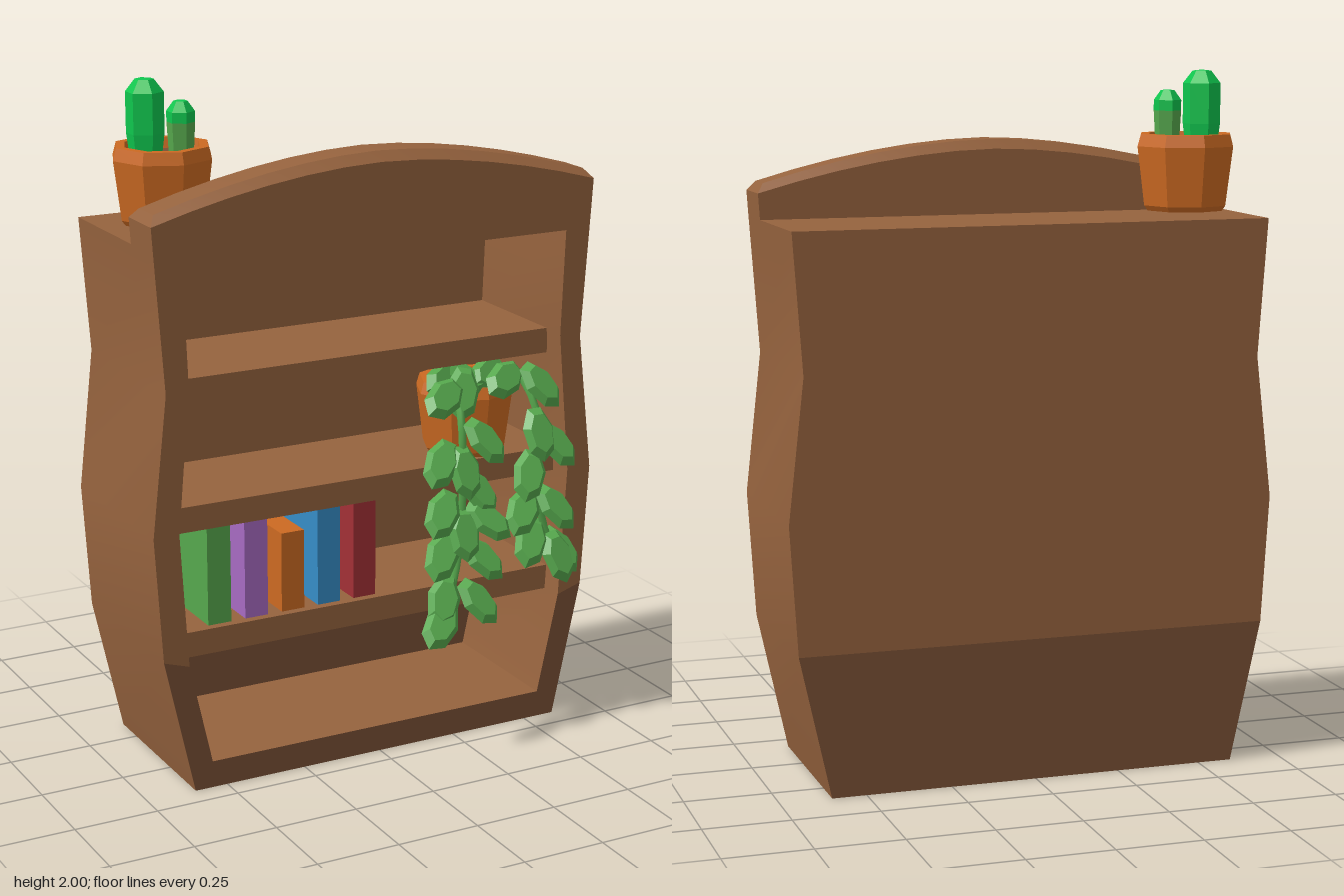
import * as THREE from 'three';

const mat = (name, color) => {
  const m = new THREE.MeshStandardMaterial({ color, side: THREE.DoubleSide });
  m.name = name;
  return m;
};

export function createModel() {
  const M = {
    wood: mat('wood', 0x96633e), darkWood: mat('darkWood', 0x795035),
    clay: mat('terracotta', 0xcc6a22), cactus: mat('cactusGreen', 0x0fc64e),
    leaf: mat('leafGreen', 0x56a84d), purple: mat('purple', 0xa76bc2),
    blue: mat('blue', 0x368dc6), red: mat('red', 0xa23036),
  };
  const root = new THREE.Group();
  root.name = 'bookcase';
  const add = (name, geo, m, parent = root) => {
    const mesh = new THREE.Mesh(geo, m);
    mesh.name = name;
    parent.add(mesh);
    return mesh;
  };
  const faceted = (g) => {
    const f = g.index ? g.toNonIndexed() : g;
    f.computeVertexNormals();
    return f;
  };
  // Surface between two polylines, smooth along its length
  const strip = (a, b) => {
    const n = a.length, idx = [];
    for (let i = 0; i < n - 1; i++) idx.push(i, i + 1, n + i, i + 1, n + i + 1, n + i);
    const g = new THREE.BufferGeometry();
    g.setAttribute('position', new THREE.Float32BufferAttribute([...a, ...b].flat(), 3));
    g.setIndex(idx);
    g.computeVertexNormals();
    return g;
  };
  const plate = (name, pts, z, m, back = false) => {
    const g = new THREE.ShapeGeometry(new THREE.Shape(pts.map((p) => new THREE.Vector2(...p))));
    if (back) g.rotateY(Math.PI);
    g.translate(0, 0, z);
    return add(name, g, m);
  };
  const mirror = (pts) => pts.map(([x, y]) => [-x, y]).reverse();
  const both = (pts) => [...pts, ...mirror(pts)];

  const F = 0.18, B = -0.35, C = 0.03, IB = -0.27, TOP = 1.585;
  const outer = [[0.6, 0], [0.69, 0.41], [0.713, 0.78], [0.667, 1.19], [0.695, TOP]];
  const inner = [[0.545, 0.08], [0.612, 0.385], [0.635, 0.78], [0.598, 1.2], [0.61, 1.515]];
  const arch = (w, lift) => Array.from({ length: 13 }, (_, i) => {
    const u = 1 - i / 6;
    return [w * u, 1.66 + lift + 0.113 * (1 - Math.abs(u) ** 1.8)];
  });
  const low = arch(0.7, 0), high = arch(0.68, 0.027);

  // Front frame and back, darker towards the foot
  plate('frontFrame', [...outer.slice(1), ...low, ...mirror(outer.slice(1)),
    ...inner.slice(1).map(([x, y]) => [-x, y]), ...inner.slice(1).reverse()], F, M.wood);
  plate('frontFoot', [...both(outer.slice(0, 2)).slice(1, 3).reverse(), [0.6, 0]].length
    ? [[-0.6, 0], [0.6, 0], outer[1], inner[1], inner[0], [-0.545, 0.08], [-0.612, 0.385], [-0.69, 0.41]]
    : [], F, M.darkWood);
  plate('backPanel', both(outer.slice(1)), B, M.wood, true);
  plate('backFoot', both(outer.slice(0, 2)), B, M.darkWood, true);
  plate('innerBack', both(inner.slice(1)), IB, M.wood);
  plate('innerBackFoot', both(inner.slice(0, 2)), IB, M.darkWood);
  plate('crestBack', [[0.695, TOP], ...low, [-0.695, TOP]], C, M.wood, true);

  // Bowed sides, inside and out
  for (const s of [1, -1]) {
    const line = (pts, z) => pts.map(([x, y]) => [s * x, y, z]);
    const wall = (name, pts, z0, z1) =>
      add(name, s > 0 ? strip(line(pts, z0), line(pts, z1)) : strip(line(pts, z1), line(pts, z0)), M.wood);
    wall('side', outer, B, F);
    wall('crestEnd', [outer[4], [0.7, 1.66]], C, F);
    wall('innerSide', inner, F, IB);
  }

  // Top, ceiling and floor; the foot is open underneath
  const level = (name, w, y, z0, z1) =>
    add(name, strip([[w, y, z0], [-w, y, z0]], [[w, y, z1], [-w, y, z1]]), M.wood);
  level('top', 0.695, TOP, B, C);
  level('ceiling', 0.61, 1.515, F, IB);
  level('floor', 0.545, 0.08, IB, F);

  // Bevelled cap along the arched crest
  const at = (pts, z) => pts.map(([x, y]) => [x, y, z]);
  const rows = [at(low, C), at(high, 0.055), at(high, 0.15), at(low, F)];
  for (let i = 0; i < 3; i++) add('crestCap', strip(rows[i], rows[i + 1]), M.wood);
  for (const e of [0, 12]) {
    const a = [rows[0][e], rows[1][e]], b = [rows[3][e], rows[2][e]];
    add('crestCapEnd', e ? strip(b, a) : strip(a, b), M.wood);
  }

  // Shelves
  const box = (name, x, y0, y1, z0, z1, w, m) =>
    add(name, new THREE.BoxGeometry(w, y1 - y0, z1 - z0), m).position.set(x, (y0 + y1) / 2, (z0 + z1) / 2);
  for (const [y, w] of [[1.13, 1.2], [0.757, 1.264], [0.38, 1.23]])
    box('shelf', 0, y, y + 0.075, IB, 0.105, w, M.wood);

  // Books
  [[M.leaf, 0.755], [M.purple, 0.755], [M.clay, 0.695], [M.blue, 0.755], [M.red, 0.755]]
    .forEach(([m, top], i) => box('book', -0.47 + i * 0.1175, 0.455, top, -0.17, 0.08, 0.073, m));

  // Eight-sided pot with soil
  const lathe = (pts, n) => faceted(new THREE.LatheGeometry(pts.map((p) => new THREE.Vector2(...p)), n));
  const pot = (name, x, y, z) => {
    const g = new THREE.Group();
    g.name = name;
    g.position.set(x, y, z);
    add('potBody', lathe([[0, 0], [0.115, 0], [0.126, 0.015], [0.148, 0.185], [0.138, 0.22],
      [0.112, 0.22], [0.105, 0.185]], 8), M.clay, g);
    add('soil', lathe([[0.106, 0.19], [0, 0.19]], 8), M.darkWood, g);
    root.add(g);
    return g;
  };
  const cactusPot = pot('cactusPot', -0.525, 1.597, -0.135);
  pot('vinePot', 0.39, 0.832, -0.02);

  // Cacti
  const big = add('tallCactus', lathe([[0.045, 0.18], [0.054, 0.25], [0.054, 0.365], [0.027, 0.4], [0, 0.403]], 6),
    M.cactus, cactusPot);
  big.position.set(-0.035, 0, -0.033);
  const small = add('smallCactus', lathe([[0.04, 0.285], [0.04, 0.315], [0.02, 0.343], [0, 0.345]], 6),
    M.cactus, cactusPot);
  small.position.set(0.043, 0, 0.035);
  add('smallCactusBase', lathe([[0.034, 0.18], [0.04, 0.285]], 6), M.leaf, cactusPot).position.copy(small.position);

  // Trailing stems
  const stem = (pts) => add('stem', new THREE.TubeGeometry(
    new THREE.CatmullRomCurve3(pts.map((p) => new THREE.Vector3(...p))), 16, 0.012, 5), M.leaf);
  stem([[0.36, 1.0, 0], [0.29, 1.08, 0.1], [0.26, 0.98, 0.19], [0.26, 0.75, 0.2], [0.24, 0.57, 0.21], [0.2, 0.45, 0.23]]);
  stem([[0.42, 1.0, 0], [0.49, 1.08, 0.1], [0.52, 0.98, 0.18], [0.52, 0.75, 0.19], [0.55, 0.6, 0.2], [0.58, 0.53, 0.21]]);

  // Leaves: centre, then angle from straight down in the front plane
  const blade = faceted(new THREE.CylinderGeometry(0.7, 1, 1, 7).rotateX(Math.PI / 2).scale(0.052, 0.085, 0.022)
    .scale(1, 1, -1).rotateY(Math.PI).scale(-1, 1, 1));
  const leaf = (x, y, z, deg) => {
    const a = THREE.MathUtils.degToRad(deg);
    const up = new THREE.Vector3(-Math.sin(a), Math.cos(a), -0.45).normalize();
    const out = new THREE.Vector3(Math.sin(a) * 0.6, 0.25, 1);
    const side = new THREE.Vector3().crossVectors(up, out).normalize();
    const mesh = add('leaf', blade, M.leaf);
    mesh.quaternion.setFromRotationMatrix(new THREE.Matrix4().makeBasis(side, up, side.clone().cross(up)));
    mesh.position.set(x, y, z);
  };
  [[0.2, 1.07, 0.2, -65], [0.29, 1.06, 0.15, -20], [0.31, 0.94, 0.25, 35], [0.18, 0.88, 0.22, -40],
    [0.25, 0.85, 0.24, 0], [0.32, 0.77, 0.2, 30], [0.18, 0.73, 0.23, -40], [0.33, 0.69, 0.24, 50],
    [0.25, 0.66, 0.24, -5], [0.18, 0.6, 0.23, -35], [0.32, 0.57, 0.23, 40], [0.17, 0.47, 0.26, -25],
    [0.29, 0.45, 0.26, 35], [0.145, 0.41, 0.29, -50],
  ].forEach((l) => leaf(...l));
  [[0.44, 1.08, 0.14, -70], [0.54, 1.06, 0.18, 35], [0.5, 0.93, 0.24, 0], [0.58, 0.88, 0.21, 35],
    [0.48, 0.8, 0.22, -25], [0.57, 0.69, 0.23, 35], [0.46, 0.69, 0.22, -40], [0.49, 0.59, 0.22, -30],
    [0.57, 0.54, 0.25, 10], [0.61, 0.54, 0.2, 30],
  ].forEach((l) => leaf(...l));

  // Leaf tufts bending over the pot rim
  for (const [x, a] of [[0.33, 60], [0.42, -75], [0.27, -80]]) leaf(x, 1.085, 0.08, a);

  return root;
}
